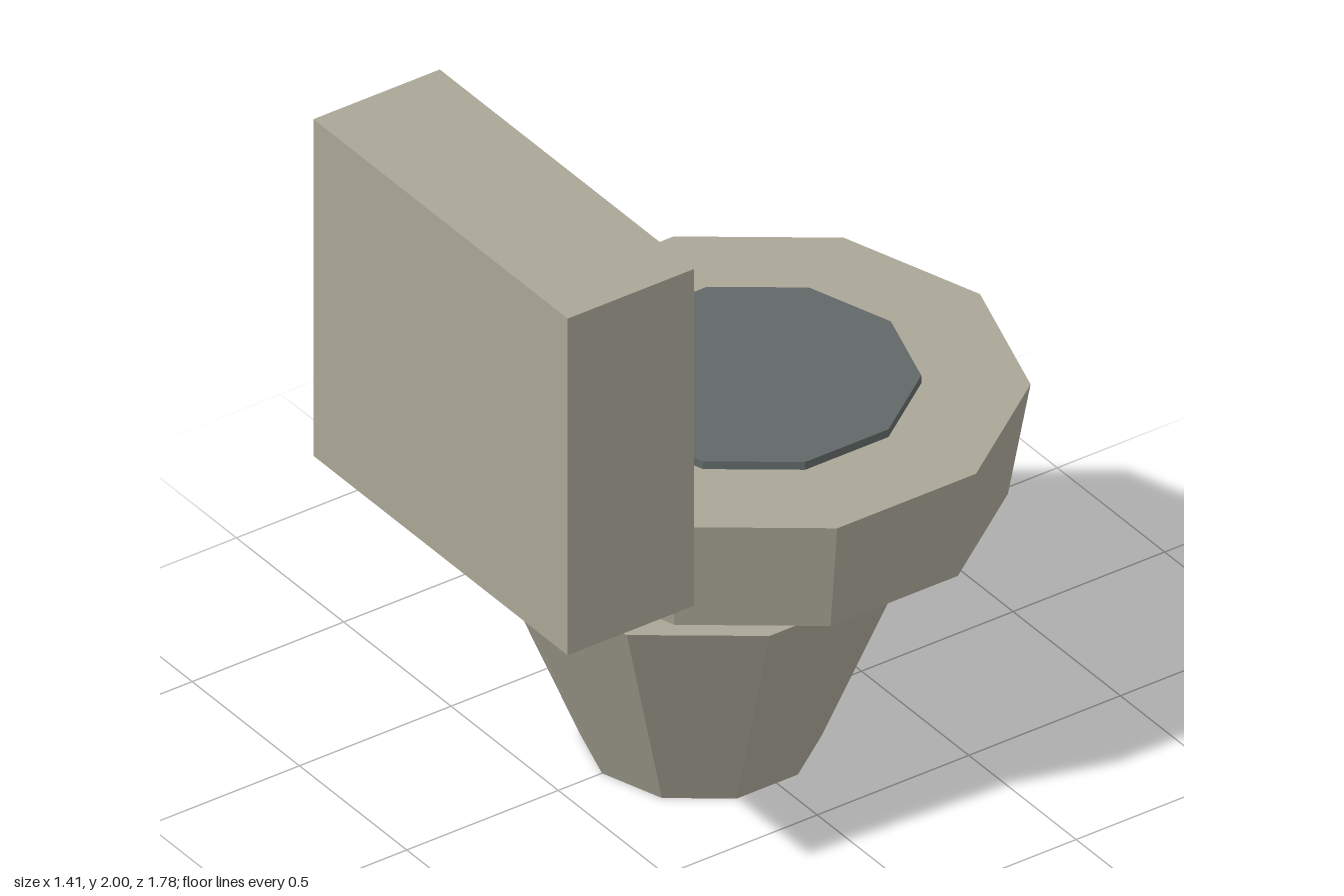
import * as THREE from 'three';

export function createModel() {
  const group = new THREE.Group();
  group.name = 'toilet';

  const ceramic = new THREE.MeshStandardMaterial({ color: 0xa9a696, flatShading: true });
  ceramic.name = 'warm grey ceramic';
  const water = new THREE.MeshStandardMaterial({ color: 0x616867, flatShading: true });
  water.name = 'dark slate water';

  // Ten-sided frustum standing between two heights, a corner facing the front
  function decagon(name, material, rTop, rBottom, y0, y1, z) {
    const mesh = new THREE.Mesh(new THREE.CylinderGeometry(rTop, rBottom, y1 - y0, 10), material);
    mesh.name = name;
    mesh.position.set(0, (y0 + y1) / 2, z);
    group.add(mesh);
  }

  // Tapered foot, flared bowl and the water disc on top
  decagon('pedestal', ceramic, 0.622, 0.326, 0, 0.715, 0.03);
  decagon('bowl', ceramic, 0.741, 0.68, 0.715, 1.07, -0.15);
  decagon('water', water, 0.445, 0.445, 1.065, 1.095, -0.152);

  // Upright cistern
  const tank = new THREE.Mesh(new THREE.BoxGeometry(1.185, 1.09, 0.417), ceramic);
  tank.name = 'tank';
  tank.position.set(0, 1.455, 0.68);
  group.add(tank);

  return group;
}
